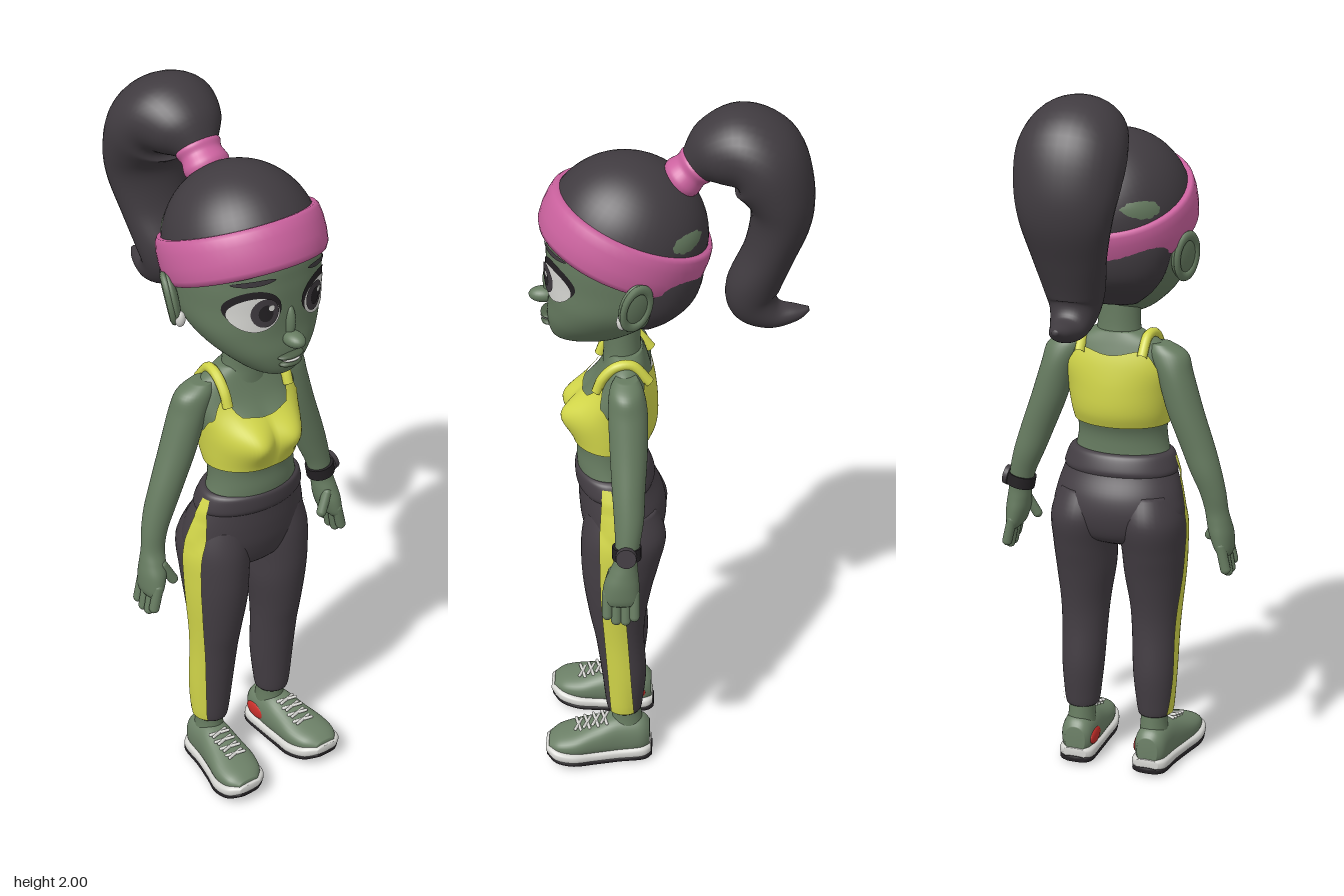
import * as THREE from 'three';
import { mergeVertices } from 'three/addons/utils/BufferGeometryUtils.js';

const mat = (name, color) => Object.assign(new THREE.MeshStandardMaterial({ color }), { name });
const M = {
  skin: mat('skin', 0x667b60), lip: mat('lip', 0x4f6049), hair: mat('hair', 0x403b40),
  leggings: mat('leggings', 0x443e44), yellow: mat('yellow', 0xd3d74a), pink: mat('pink', 0xcc629f),
  white: mat('white', 0xd6d6d2), black: mat('black', 0x242124), red: mat('red', 0xc92f2a), shoe: mat('shoe', 0x6c8067),
};
const lerp = THREE.MathUtils.lerp;

// Smooth surface from a rule p(u, v); it faces du x dv
function grid(nu, nv, p) {
  const pos = [], idx = [];
  for (let j = 0; j <= nv; j++) for (let i = 0; i <= nu; i++) pos.push(...p(i / nu, j / nv));
  for (let j = 0; j < nv; j++) for (let i = 0; i < nu; i++) {
    const a = j * (nu + 1) + i, c = a + nu + 1;
    idx.push(a, a + 1, c, a + 1, c + 1, c);
  }
  let g = new THREE.BufferGeometry();
  g.setAttribute('position', new THREE.Float32BufferAttribute(pos, 3));
  g.setIndex(idx);
  g = mergeVertices(g, 1e-5);
  g.computeVertexNormals();
  return g;
}

// Densify sections [x, y, z, halfWidth, halfDepth, tilt in degrees] with a Catmull-Rom rule
function smooth(keys, steps = 6) {
  const out = [], n = keys.length, K = i => keys[Math.min(n - 1, Math.max(0, i))];
  for (let i = 0; i < n - 1; i++) for (let s = 0; s < steps + (i === n - 2 ? 1 : 0); s++) {
    const t = s / steps;
    out.push([0, 1, 2, 3, 4, 5].map(k => {
      const [a, b, c, d] = [K(i - 1), K(i), K(i + 1), K(i + 2)].map(q => q[k] ?? 0);
      return 0.5 * (2 * b + (c - a) * t + (2 * a - 5 * b + 4 * c - d) * t * t + (3 * b - a - 3 * c + d) * t ** 3);
    }));
  }
  return out;
}
const sp = (v, k) => Math.sign(v) * Math.abs(v) ** (2 / k);
function ringPoint([x, y, z, a, b, tilt], phi, k = 2, size = 1, grow = 0) {
  const th = THREE.MathUtils.degToRad(tilt), v = size * (Math.max(b, 0.002) + grow) * sp(Math.sin(phi), k);
  return [x + size * (Math.max(a, 0.002) + grow) * sp(Math.cos(phi), k), y + v * Math.sin(th), z + v * Math.cos(th)];
}
// Closed loft; upright parts run top to bottom, shoes heel to toe (tilt 90)
function loft(keys, { n = 36, k = 2, deform = p => p } = {}) {
  const d = smooth(keys), rows = d.length + 1;
  return grid(n, rows, (u, v) => {
    const r = Math.round(v * rows), i = Math.min(d.length - 1, Math.max(0, r - 1));
    return deform(ringPoint(d[i], (u % 1) * Math.PI * 2, k, r === 0 || r === rows ? 0 : 1));
  });
}
// Section of a dense upright loft at height y
function at(d, y) {
  let i = 0;
  while (i < d.length - 2 && d[i + 1][1] > y) i++;
  const t = THREE.MathUtils.clamp((d[i][1] - y) / (d[i][1] - d[i + 1][1]), 0, 1);
  return d[i].map((v, k) => lerp(v, d[i + 1][k], t));
}

export function createModel() {
  const root = new THREE.Group();
  const add = (name, geo, material, parent = root) => {
    const m = new THREE.Mesh(geo, material);
    m.name = name;
    parent.add(m);
    return m;
  };
  const ball = (name, c, r, material, parent) => {
    const m = add(name, new THREE.SphereGeometry(1, 24, 16), material, parent);
    m.position.set(...c);
    m.scale.set(...r);
    return m;
  };
  const capsule = (name, a, b, r, material) => {
    const A = new THREE.Vector3(...a), B = new THREE.Vector3(...b), dir = B.clone().sub(A);
    const m = add(name, new THREE.CapsuleGeometry(r, dir.length(), 6, 12), material);
    m.position.copy(A).add(B).multiplyScalar(0.5);
    m.quaternion.setFromUnitVectors(new THREE.Vector3(0, 1, 0), dir.normalize());
    return m;
  };

  // Head and facial features
  const headKeys = [[0, 1.8, .12, .12, .13], [0, 1.7, .115, .182, .2], [0, 1.62, .12, .188, .203], [0, 1.55, .122, .184, .2],
    [0, 1.48, .15, .173, .17], [0, 1.42, .18, .137, .145], [0, 1.37, .21, .085, .108], [0, 1.348, .225, .048, .075], [0, 1.34, .23, .02, .03]];
  const K = 2.3, head = smooth(headKeys);
  add('head', loft(headKeys, { n: 96, k: K }), M.skin);
  const faceZ = (x, y) => {
    const s = at(head, y);
    return s[2] + s[4] * Math.max(0, 1 - Math.abs(x / s[3]) ** K) ** (1 / K);
  };
  const decal = (name, cx, cy, rx, ry, lift, material, turn = 0) => add(name, grid(8, 32, (u, v) => {
    const t = (v % 1) * Math.PI * 2, p = u * rx * Math.cos(t), q = u * ry * Math.sin(t);
    const x = cx + p * Math.cos(turn) - q * Math.sin(turn), y = cy + p * Math.sin(turn) + q * Math.cos(turn);
    return [x, y, faceZ(x, y) + lift];
  }), material);
  ball('noseTip', [0, 1.463, .335], [.026, .021, .038], M.skin);
  ball('noseBridge', [0, 1.505, .315], [.015, .05, .02], M.skin);
  ball('upperLip', [0, 1.413, .323], [.04, .009, .02], M.lip);
  ball('lowerLip', [0, 1.391, .322], [.034, .01, .02], M.lip);
  ball('teeth', [0, 1.403, .326], [.027, .005, .017], M.white);
  for (const s of [1, -1]) {
    decal('eyelashes', s * .096, 1.562, .064, .055, .003, M.black, s * .1);
    decal('eyeWhite', s * .096, 1.55, .058, .049, .006, M.white);
    decal('iris', s * .078, 1.556, .034, .041, .009, M.hair);
    decal('pupil', s * .078, 1.556, .018, .024, .0115, M.black);
    decal('eyeGlint', s * .078 + .012, 1.572, .008, .009, .014, M.white);
    decal('eyebrow', s * .1, 1.64, .05, .008, .005, M.hair, -s * .12);
    const ear = new THREE.Group();
    ear.name = 'ear';
    ear.position.set(s * .197, 1.538, .088);
    ear.rotation.set(-.15, s * .5, -s * .12);
    root.add(ear);
    ball('earShell', [0, 0, 0], [.016, .07, .045], M.skin, ear);
    const rim = add('earRim', new THREE.TorusGeometry(.036, .009, 8, 28), M.skin, ear);
    rim.rotation.y = Math.PI / 2;
    rim.scale.y = 1.65;
    rim.position.x = s * .01;
    ball('earbud', [s * .198, 1.492, .122], [.014, .022, .014], M.white);
  }

  // Hair, headband and ponytail
  const crown = new THREE.Group();
  crown.name = 'crown';
  crown.position.set(0, 1.648, .117);
  crown.rotation.x = -.4;
  root.add(crown);
  const cap = add('hairCap', new THREE.SphereGeometry(1, 48, 20, 0, Math.PI * 2, 0, Math.PI * .52), M.hair, crown);
  cap.scale.set(.2, .212, .215);
  const bandProfile = [[.85, -.058], [.945, -.061], [.985, -.045], [1, -.01], [.995, .025], [.975, .05], [.945, .06], [.86, .058]];
  const band = add('headband', new THREE.LatheGeometry(bandProfile.map(p => new THREE.Vector2(...p)), 56), M.pink, crown);
  band.scale.set(.215, 1, .228);
  add('napeHair', loft([[0, 1.64, .05, .18, .13], [0, 1.56, .035, .178, .123], [0, 1.49, .032, .158, .104], [0, 1.44, .045, .122, .072], [0, 1.4, .065, .075, .04]]), M.hair);
  add('ponytail', loft([[0, 1.79, -.02, .045, .045, -140], [0, 1.83, -.055, .05, .045, -135], [0, 1.872, -.1, .098, .082, -115],
    [0, 1.892, -.17, .13, .106, -90], [0, 1.855, -.235, .145, .113, -50], [0, 1.78, -.272, .14, .094, -15], [0, 1.7, -.281, .124, .08, 10],
    [0, 1.6, -.255, .1, .068, 15], [0, 1.5, -.215, .08, .072, 5], [0, 1.445, -.222, .064, .066, -35], [0, 1.41, -.27, .048, .038, -70],
    [0, 1.415, -.33, .028, .021, -100], [0, 1.425, -.362, .008, .006, -100]]), M.hair);
  add('hairTie', loft([[0, 1.79, -.015, .058, .05, -135], [0, 1.805, -.03, .064, .056, -135], [0, 1.825, -.05, .058, .05, -135], [0, 1.84, -.065, .064, .054, -135], [0, 1.852, -.077, .052, .045, -135]]), M.pink);

  // Neck and torso
  add('neck', loft([[0, 1.43, .135, .06, .055], [0, 1.33, .13, .06, .05], [0, 1.28, .128, .068, .053], [0, 1.23, .125, .1, .06]]), M.skin);
  const bust = ([x, y, z]) => [x, y, z + (z > .15 ? .046 * Math.exp(-(((Math.abs(x) - .058) / .058) ** 2) - ((y - 1.125) / .055) ** 2) * Math.min(1, (z - .15) / .05) : 0)];
  const torsoKeys = [[0, 1.31, .12, .07, .045], [0, 1.275, .12, .135, .056], [0, 1.22, .126, .158, .076], [0, 1.15, .142, .145, .1],
    [0, 1.08, .15, .135, .105], [0, 1.02, .162, .127, .093], [0, .97, .165, .132, .092], [0, .91, .16, .15, .09]];
  const torso = smooth(torsoKeys);
  add('torso', loft(torsoKeys, { n: 64, deform: bust }), M.skin);

  // Sports top, wrapped round the torso with a curved upper edge
  const edge = [[0, 1.185], [25, 1.195], [40, 1.245], [60, 1.19], [90, 1.15], [120, 1.195], [145, 1.265], [180, 1.25]];
  const edgeY = deg => {
    const i = Math.max(1, edge.findIndex(e => e[0] >= deg - 1e-6)), [a, b] = [edge[i - 1], edge[i]];
    return lerp(a[1], b[1], THREE.MathUtils.smoothstep(deg, a[0], b[0]));
  };
  add('sportsTop', grid(96, 24, (u, v) => {
    const phi = (u % 1) * Math.PI * 2, deg = Math.acos(THREE.MathUtils.clamp(Math.sin(phi), -1, 1)) * 180 / Math.PI;
    const y = lerp(edgeY(deg), 1.042, v), s = at(torso, y);
    s[1] = y;
    return bust(ringPoint(s, phi, 2, 1, .007));
  }), M.yellow);
  for (const s of [1, -1]) {
    const path = [[.1, 1.225, .195], [.1, 1.265, .178], [.098, 1.3, .14], [.092, 1.3, .1], [.09, 1.25, .055]];
    const curve = new THREE.CatmullRomCurve3(path.map(([x, y, z]) => new THREE.Vector3(s * x, y, z)));
    add('shoulderStrap', new THREE.TubeGeometry(curve, 24, .014, 10), M.yellow);
  }

  // Leggings
  const hipKeys = [[0, .95, .16, .143, .095], [0, .9, .15, .163, .104], [0, .84, .136, .181, .117], [0, .78, .13, .188, .116], [0, .72, .13, .15, .095], [0, .69, .135, .06, .05]];
  const legKeys = [[.088, .85, .135, .08, .095], [.098, .77, .128, .095, .116], [.102, .68, .138, .09, .108], [.102, .6, .145, .085, .095],
    [.105, .5, .147, .072, .078], [.106, .42, .142, .066, .068], [.108, .3, .132, .061, .063], [.11, .2, .132, .052, .053], [.11, .172, .132, .047, .048]];
  const hips = smooth(hipKeys), leg = smooth(legKeys);
  add('hips', loft(hipKeys, { n: 56 }), M.leggings);
  add('waistband', loft([[0, .96, .162, .14, .092], [0, .95, .16, .152, .102], [0, .915, .153, .164, .108], [0, .9, .15, .162, .103]], { n: 56 }), M.leggings);
  const sideX = (d, y, z) => {
    if (y > d[0][1] || y < d[d.length - 1][1]) return 0;
    const s = at(d, y);
    return s[0] + s[3] * Math.sqrt(Math.max(0, 1 - ((z - s[2]) / s[4]) ** 2));
  };

  const mirrored = (keys, s) => keys.map(([x, ...rest]) => [s * x, ...rest]);
  for (const s of [1, -1]) {
    add('leg', loft(mirrored(legKeys, s)), M.leggings);
    add('sideStripe', grid(6, 50, (u, v) => {
      const y = lerp(.178, .945, v), w = y > .8 ? lerp(.033, .012, (y - .8) / .145) : .033;
      const z = lerp(.136, .158, Math.min(1, v * 1.8)) + (v > .8 ? (v - .8) * .06 : 0) + s * w * (1 - 2 * u);
      return [s * (Math.max(sideX(leg, y, z), sideX(hips, y, z)) + (y > .89 ? .01 : .005)), y, z];
    }), M.yellow);

    // Arm and hand
    add('arm', loft(mirrored([[.125, 1.282, .115, .03, .03], [.146, 1.255, .114, .055, .045], [.168, 1.2, .11, .05, .052], [.198, 1.1, .108, .051, .05],
      [.235, 1, .108, .048, .044], [.26, .93, .107, .044, .04], [.28, .87, .11, .037, .034], [.29, .82, .115, .033, .031], [.296, .785, .121, .034, .038],
      [.302, .75, .127, .034, .047], [.31, .71, .13, .027, .049], [.316, .69, .13, .016, .044]], s)), M.skin);
    [.093, .117, .142, .166].forEach((z, i) =>
      capsule('finger', [s * .31, .72, z], [s * .325, [.655, .642, .643, .66][i], z], .0145, M.skin));
    capsule('thumb', [s * .284, .775, .15], [s * .258, .725, .16], .014, M.skin);

    // Ankle and shoe
    add('ankle', loft(mirrored([[.11, .2, .13, .04, .042], [.11, .15, .125, .038, .042], [.112, .09, .125, .045, .05]], s)), M.skin);
    add('shoeUpper', loft(mirrored([[.11, .075, .06, .03, .04, 90], [.112, .08, .085, .046, .058, 90], [.115, .08, .15, .052, .064, 90], [.122, .075, .21, .06, .052, 90],
      [.13, .07, .27, .068, .038, 90], [.136, .068, .32, .058, .027, 90], [.14, .066, .349, .032, .013, 90]], s), { k: 2.3 }), M.shoe);
    const soleKeys = [[.11, .036, .056, .034, .014, 90], [.111, .034, .08, .052, .021, 90], [.115, .032, .15, .057, .02, 90], [.123, .034, .22, .066, .02, 90],
      [.131, .041, .28, .077, .021, 90], [.137, .05, .33, .066, .021, 90], [.14, .058, .358, .034, .011, 90]];
    add('sole', loft(mirrored(soleKeys, s), { k: 3 }), M.white);
    add('outsole', loft(mirrored(soleKeys.map(([x, y, z, a, b, t]) => [x, y - .018, z - .003, a - .002, b * .6, t]), s), { k: 3 }), M.black);
    ball('heelPatch', [s * .067, .075, .115], [.009, .024, .038], M.red);
    for (let i = 0; i < 4; i++) {
      const z = .19 + i * .025, y = .136 - i * .0085;
      for (const q of [1, -1]) capsule('lace', [s * .123 - .026, y - q * .002, z - q * .008], [s * .123 + .026, y + q * .002, z + q * .008], .0045, M.white);
    }
  }

  // Wristwatch on the left arm
  const watch = new THREE.Group();
  watch.name = 'watch';
  watch.position.set(.287, .84, .113);
  watch.rotation.z = .2;
  root.add(watch);
  const strap = add('watchStrap', new THREE.CylinderGeometry(.041, .041, .034, 28), M.black, watch);
  strap.scale.z = .95;
  const dial = add('watchDial', new THREE.CylinderGeometry(.027, .029, .014, 24), M.hair, watch);
  dial.rotation.z = -Math.PI / 2;
  dial.position.x = .042;
  return root;
}
